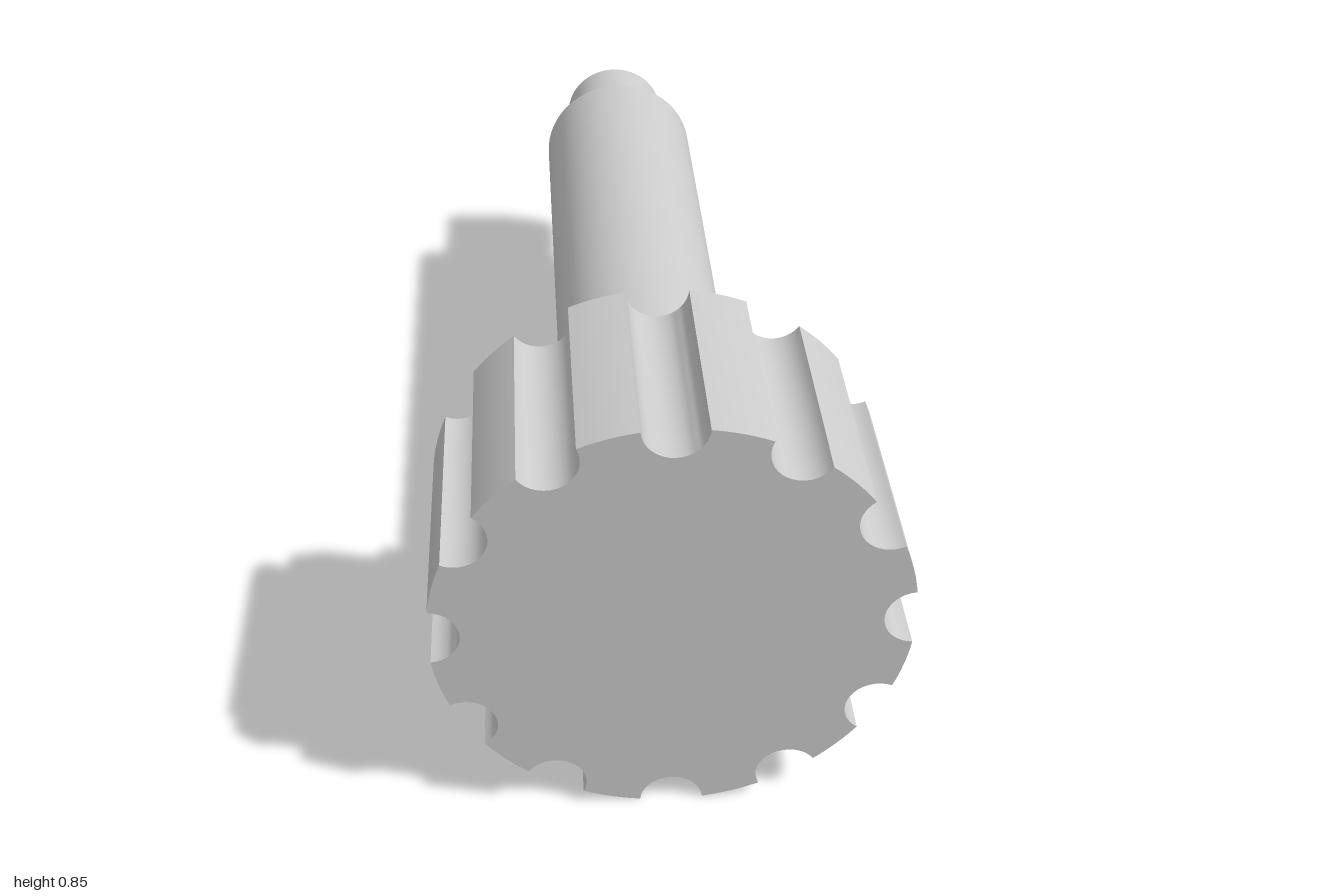
import * as THREE from 'three';
import { toCreasedNormals } from 'three/addons/utils/BufferGeometryUtils.js';

const AXIS_Y = 0.426;
const material = new THREE.MeshStandardMaterial({ color: 0xcccccc });

// Round rim with circular grip notches centred on it
function knobShape(radius, notchRadius, count) {
  const step = (Math.PI * 2) / count;
  const rimGap = 2 * Math.asin(notchRadius / (2 * radius)); // half angle a notch takes from the rim
  const sweep = Math.acos(notchRadius / (2 * radius)); // half angle of the notch arc
  const notchSteps = 16, rimSteps = 6;
  const points = [];
  for (let k = 0; k < count; k++) {
    const a = k * step;
    const cx = radius * Math.cos(a), cy = radius * Math.sin(a);
    for (let i = 0; i <= notchSteps; i++) {
      const t = a + Math.PI + sweep * (1 - (2 * i) / notchSteps);
      points.push(new THREE.Vector2(cx + notchRadius * Math.cos(t), cy + notchRadius * Math.sin(t)));
    }
    for (let i = 1; i < rimSteps; i++) {
      const t = a + rimGap + ((step - 2 * rimGap) * i) / rimSteps;
      points.push(new THREE.Vector2(radius * Math.cos(t), radius * Math.sin(t)));
    }
  }
  return new THREE.Shape(points);
}

// Cylinder lying along z between two positions
function rod(name, radius, zBack, zFront) {
  const geometry = new THREE.CylinderGeometry(radius, radius, zFront - zBack, 64);
  geometry.rotateX(Math.PI / 2);
  const mesh = new THREE.Mesh(geometry, material);
  mesh.name = name;
  mesh.position.set(0, AXIS_Y, (zBack + zFront) / 2);
  return mesh;
}

export function createModel() {
  const group = new THREE.Group();
  group.name = 'thumbScrew';

  // Notched grip knob
  const knobGeometry = new THREE.ExtrudeGeometry(knobShape(0.43, 0.058, 12), { depth: 0.425, bevelEnabled: false });
  const knob = new THREE.Mesh(toCreasedNormals(knobGeometry, Math.PI / 6), material);
  knob.name = 'knob';
  knob.position.set(0, AXIS_Y, 0.575);
  group.add(knob);

  // Stepped shaft
  group.add(rod('shaft', 0.178, -0.785, 0.575));
  group.add(rod('shaftTip', 0.12, -1, -0.785));

  return group;
}
